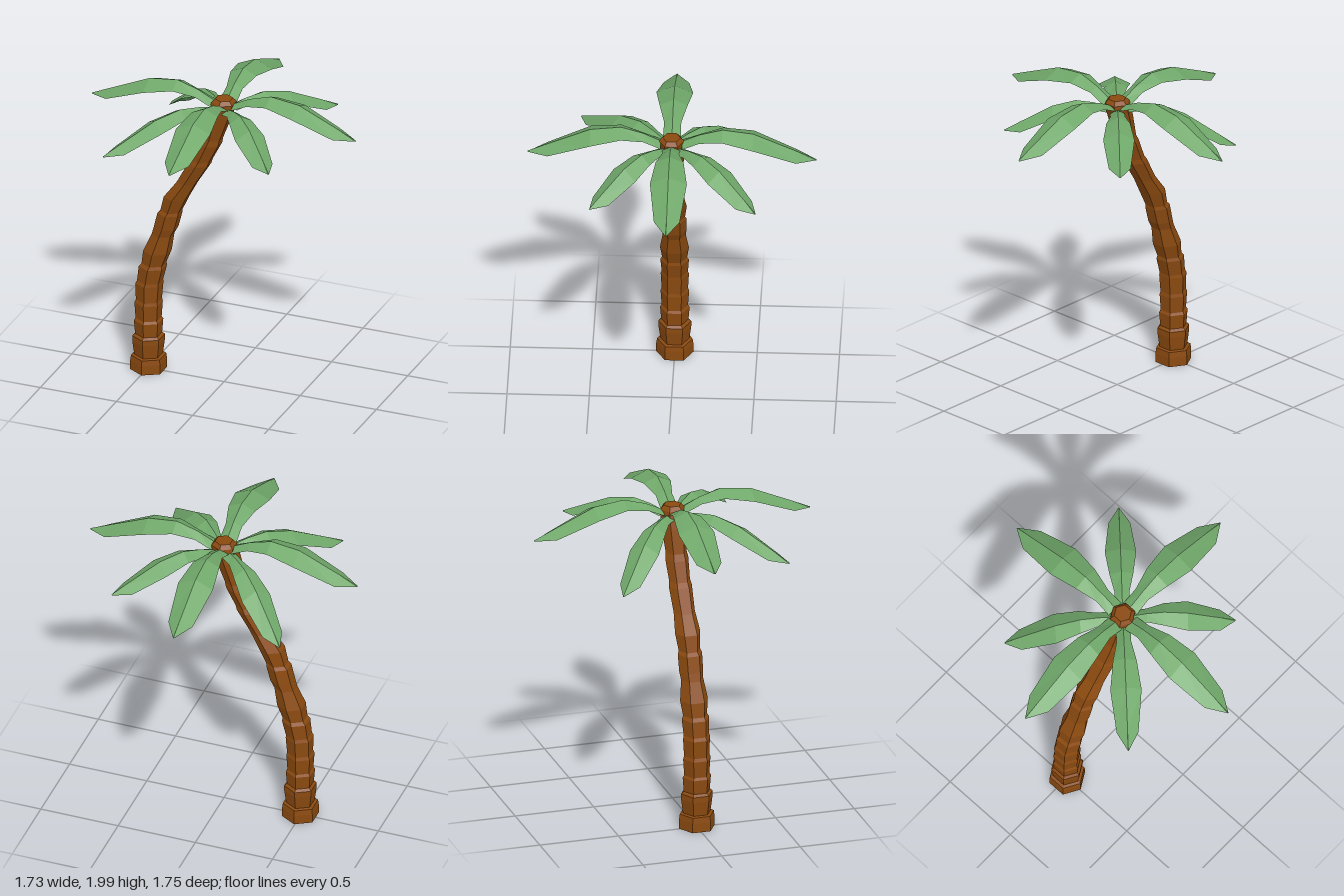
import * as THREE from 'three';

// Skin a list of equal-length rings (counter-clockwise seen from the last ring) and cap both ends
function loft(rings) {
  const n = rings[0].length, last = (rings.length - 1) * n;
  const index = [];
  for (let i = 0; i < rings.length - 1; i++) {
    for (let j = 0; j < n; j++) {
      const a = i * n + j, b = i * n + (j + 1) % n;
      index.push(a, b, b + n, a, b + n, a + n);
    }
  }
  for (let j = 1; j < n - 1; j++) {
    index.push(0, j + 1, j, last, last + j, last + j + 1);
  }
  const geometry = new THREE.BufferGeometry();
  geometry.setAttribute('position', new THREE.Float32BufferAttribute(rings.flat(2), 3));
  geometry.setIndex(index);
  geometry.computeVertexNormals();
  return geometry;
}

// Hexagonal trunk ring with corners on the z axis
function hexRing([y, x, r]) {
  return Array.from({ length: 6 }, (_, k) => {
    const a = k * Math.PI / 3;
    return [x + r * Math.sin(a), y, r * Math.cos(a)];
  });
}

// Trunk rings: height, centre x, radius
const TRUNK = [
  [0, -0.495, 0.113], [0.06, -0.495, 0.113], [0.095, -0.495, 0.108], [0.1, -0.495, 0.088],
  [0.19, -0.495, 0.1], [0.225, -0.495, 0.1], [0.24, -0.495, 0.083],
  [0.33, -0.495, 0.09], [0.345, -0.495, 0.08],
  [0.45, -0.495, 0.087], [0.47, -0.493, 0.08],
  [0.58, -0.49, 0.086], [0.6, -0.485, 0.08],
  [0.7, -0.467, 0.087], [0.72, -0.46, 0.076],
  [0.81, -0.437, 0.088], [0.93, -0.4, 0.07],
  [0.98, -0.38, 0.076], [1.08, -0.355, 0.077], [1.1, -0.345, 0.068],
  [1.2, -0.31, 0.08], [1.31, -0.24, 0.067],
  [1.45, -0.16, 0.073], [1.48, -0.145, 0.066],
  [1.6, -0.09, 0.073], [1.64, -0.075, 0.066],
  [1.79, -0.03, 0.078], [1.87, -0.005, 0.08], [1.895, 0, 0.078], [1.92, 0, 0.055],
];

// Frond stations: position along the frond, arch height, half width, droop of the edges
const FROND = [
  [0, 0, 0.055, 0.025], [0.13, 0.064, 0.052, 0.03], [0.3, 0.122, 0.085, 0.04],
  [0.53, 0.122, 0.112, 0.05], [0.85, 0.04, 0.078, 0.04], [1, 0, 0.003, 0.006],
];

// Fronds: tip x, tip z, tip height, base height, arch scale, width scale
const FRONDS = [
  [0.865, 0, 1.795, 1.895, 1, 1], [-0.865, 0, 1.795, 1.895, 1, 1],
  [0, 0.875, 1.8, 1.895, 1, 1], [0, -0.88, 1.785, 1.895, 1, 1],
  [0.53, -0.53, 1.74, 1.87, 0.7, 0.85], [0.49, 0.48, 1.72, 1.87, 0.7, 0.85],
  [-0.56, 0.57, 1.68, 1.87, 0.7, 0.85], [-0.54, -0.48, 1.58, 1.87, 0.7, 0.85],
];

// Roof-shaped frond running out along +x
function frondGeometry(length, tipY, baseY, arch, width) {
  const start = 0.065;
  return loft(FROND.map(([t, h, w, drop]) => {
    const x = start + t * (length - start);
    const y = baseY + t * (tipY - baseY) + h * arch;
    const half = w * width;
    return [[x, y, 0], [x, y - drop, half], [x, y - drop * 0.75, 0], [x, y - drop, -half]];
  }));
}

export function createModel() {
  const model = new THREE.Group();
  model.name = 'palmTree';
  const bark = new THREE.MeshStandardMaterial({ color: 0x8b4a10, flatShading: true });
  const leaf = new THREE.MeshStandardMaterial({ color: 0x70a86a, flatShading: true });

  const trunk = new THREE.Mesh(loft(TRUNK.map(hexRing)), bark);
  trunk.name = 'trunk';
  model.add(trunk);

  // Crown of fronds
  const crown = new THREE.Group();
  crown.name = 'crown';
  FRONDS.forEach(([x, z, tipY, baseY, arch, width], i) => {
    const frond = new THREE.Mesh(frondGeometry(Math.hypot(x, z), tipY, baseY, arch, width), leaf);
    frond.name = `frond${i + 1}`;
    frond.rotation.y = Math.atan2(-z, x);
    crown.add(frond);
  });
  model.add(crown);
  return model;
}
